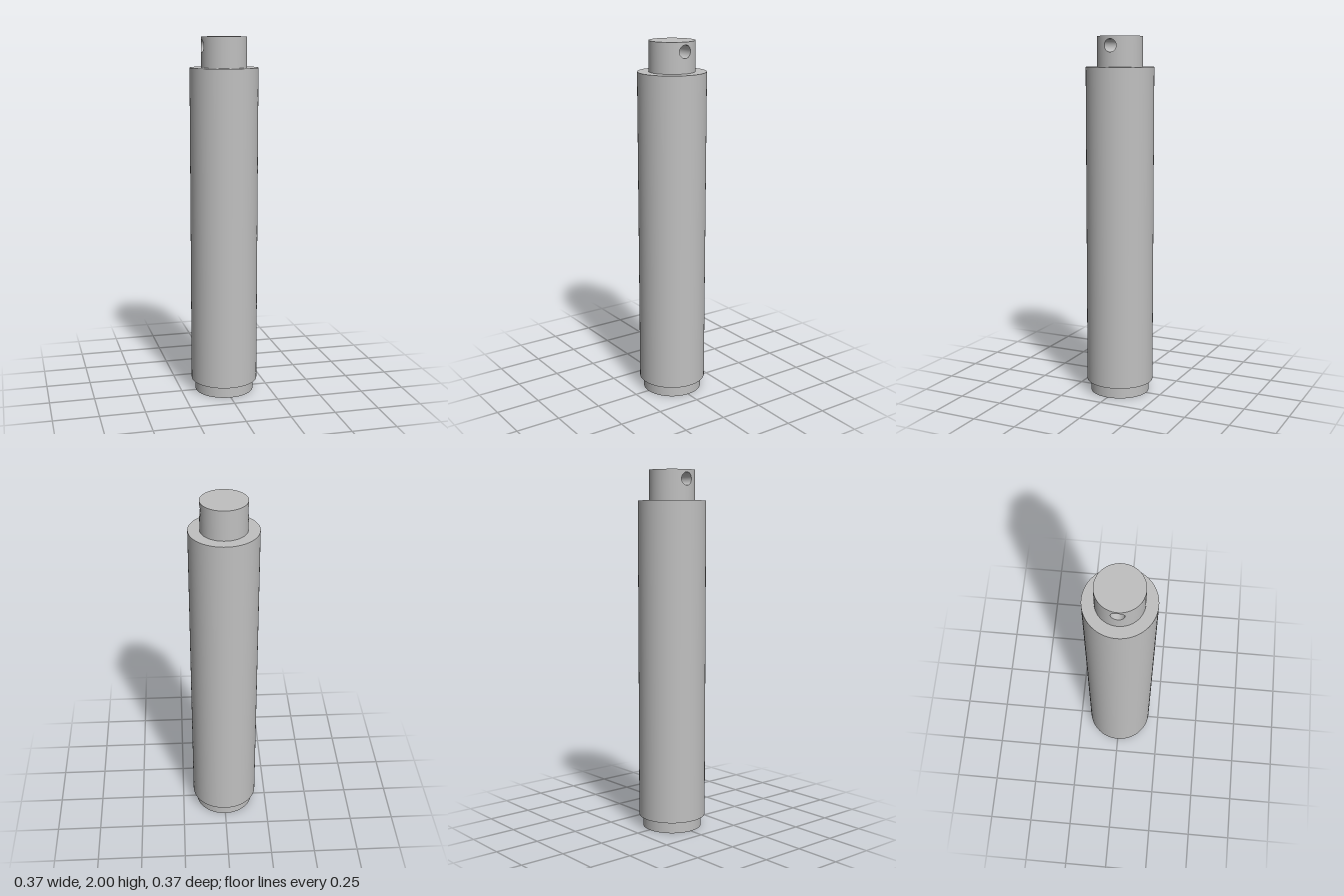
import * as THREE from 'three';
import { ParametricGeometry } from 'three/addons/geometries/ParametricGeometry.js';

const SEG = 96;
const BODY_R = 0.187, CAP_R = 0.165, KNOB_R = 0.125;
const CAP_TOP = 0.065, BODY_TOP = 1.835, TOP = 2;
const HOLE_R = 0.035, HOLE_Y = 1.95, HALF = 0.05; // HALF: half side of the square patch around the hole

export function createModel() {
  const model = new THREE.Group();
  const steel = new THREE.MeshStandardMaterial({ color: 0xc0c0c0 });
  steel.name = 'steel grey';

  const add = (name, geometry, parent = model) => {
    const mesh = new THREE.Mesh(geometry, steel);
    mesh.name = name;
    parent.add(mesh);
    return mesh;
  };

  // Main shaft
  add('body', new THREE.CylinderGeometry(BODY_R, BODY_R, BODY_TOP - CAP_TOP, SEG))
    .position.y = (BODY_TOP + CAP_TOP) / 2;

  // Bottom cap with a closed screwdriver slot running along z
  const disc = new THREE.Shape().absarc(0, 0, CAP_R, 0, Math.PI * 2);
  const w = 0.018, l = 0.147;
  disc.holes.push(new THREE.Path([[-w, -l], [-w, l], [w, l], [w, -l]].map(p => new THREE.Vector2(...p))));
  const capGeometry = new THREE.ExtrudeGeometry(disc, { depth: CAP_TOP, bevelEnabled: false, curveSegments: SEG });
  capGeometry.rotateX(-Math.PI / 2);
  // Smooth the round side only
  const pos = capGeometry.attributes.position, nor = capGeometry.attributes.normal;
  for (let i = 0; i < pos.count; i++) {
    const x = pos.getX(i), z = pos.getZ(i), r = Math.hypot(x, z);
    if (Math.abs(nor.getY(i)) < 0.5 && r > CAP_R - 0.001) nor.setXYZ(i, x / r, 0, z / r);
  }
  add('slottedCap', capGeometry);

  // Top knob with a cross hole along x
  const knob = new THREE.Group();
  knob.name = 'knob';
  model.add(knob);
  const wall = (name, y0, y1, start, length) => {
    const g = new THREE.CylinderGeometry(KNOB_R, KNOB_R, y1 - y0, SEG, 1, true, start, length);
    add(name, g, knob).position.y = (y0 + y1) / 2;
  };
  wall('knobBase', BODY_TOP, HOLE_Y - HALF, 0, Math.PI * 2);
  const arc = Math.PI / 2 - Math.asin(HALF / KNOB_R);
  wall('knobFrontWall', HOLE_Y - HALF, TOP, -arc, arc * 2);
  wall('knobBackWall', HOLE_Y - HALF, TOP, Math.PI - arc, arc * 2);
  const topDisc = add('knobTop', new THREE.CircleGeometry(KNOB_R, SEG), knob);
  topDisc.rotation.x = -Math.PI / 2;
  topDisc.position.y = TOP;

  // Curved square patch around each hole mouth
  const patch = (u, v, target) => {
    const t = u * Math.PI * 2, c = Math.cos(t), s = Math.sin(t);
    const outer = HALF / Math.max(Math.abs(c), Math.abs(s));
    const d = HOLE_R + (outer - HOLE_R) * v;
    const z = d * c;
    target.set(Math.sqrt(KNOB_R * KNOB_R - z * z), HOLE_Y + d * s, z);
  };
  for (const [name, turn] of [['leftHoleMouth', 0], ['rightHoleMouth', Math.PI]]) {
    add(name, new ParametricGeometry(patch, 64, 4), knob).rotation.y = turn;
  }

  // Inside of the cross hole
  const tunnel = (u, v, target) => {
    const t = u * Math.PI * 2, z = HOLE_R * Math.cos(t);
    target.set((v * 2 - 1) * Math.sqrt(KNOB_R * KNOB_R - z * z), HOLE_Y + HOLE_R * Math.sin(t), z);
  };
  add('crossHole', new ParametricGeometry(tunnel, 64, 2), knob);

  return model;
}
